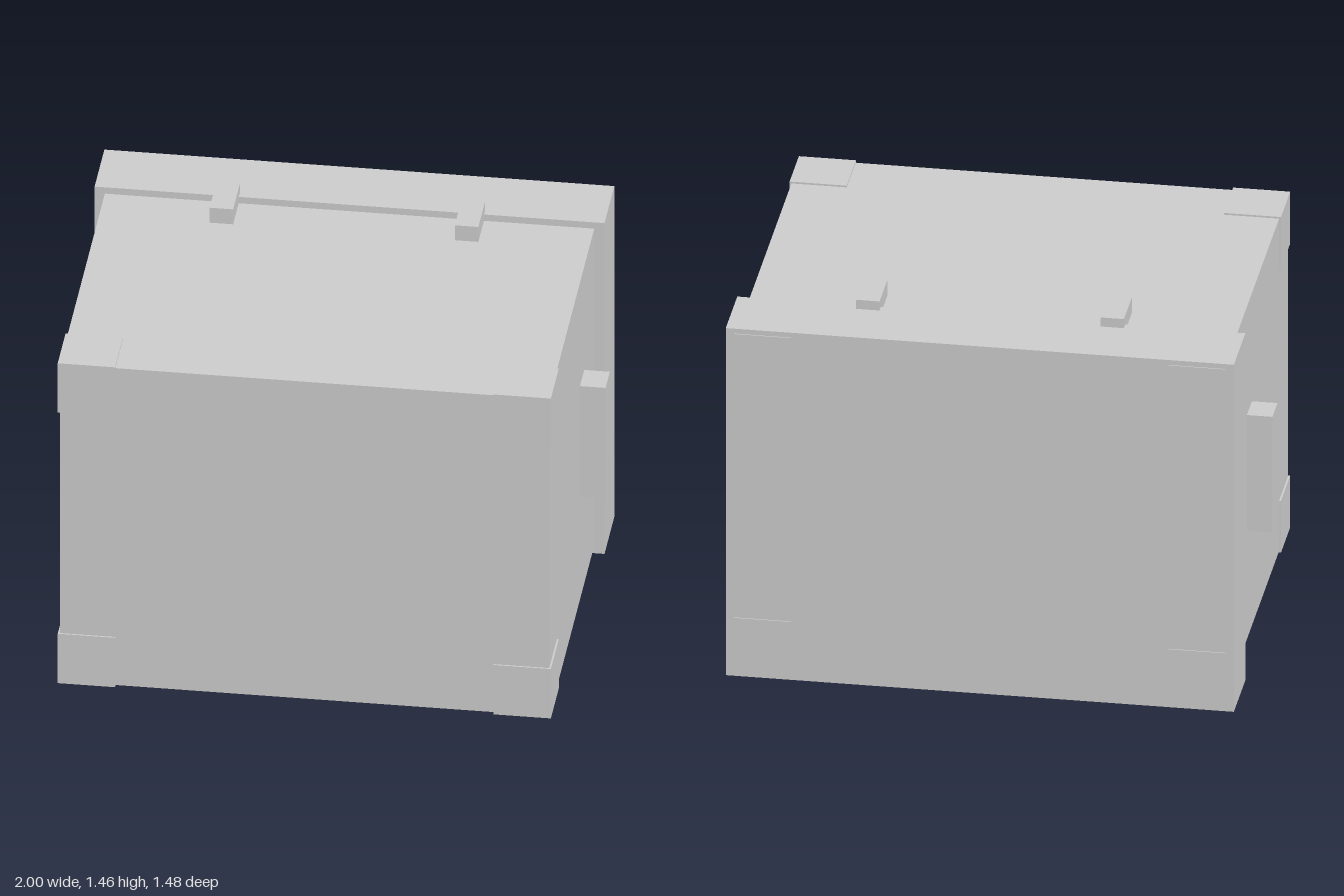
import * as THREE from 'three';

export function createModel() {
  const model = new THREE.Group();
  const material = new THREE.MeshStandardMaterial({ color: 0xcccccc, flatShading: true });

  // Box given by its min and max on each axis
  function box(name, [x0, x1], [y0, y1], [z0, z1]) {
    const mesh = new THREE.Mesh(new THREE.BoxGeometry(x1 - x0, y1 - y0, z1 - z0), material);
    mesh.position.set((x0 + x1) / 2, (y0 + y1) / 2, (z0 + z1) / 2);
    mesh.name = name;
    model.add(mesh);
  }
  // Mirrors a range across zero when the side is negative
  const mirror = (side, a, b) => (side > 0 ? [a, b] : [-b, -a]);

  // Main case and the wider cover around its back
  box('caseBody', [-0.905, 0.905], [0.033, 1.393], [-0.736, 0.736]);
  box('lid', [-0.943, 0.943], [0, 1.42], [-0.738, -0.475]);

  for (const side of [1, -1]) {
    const label = side > 0 ? 'left' : 'right';

    // Side handle and top latch
    box(label + 'Handle', mirror(side, 0.9, 1), [0.475, 0.95], [-0.205, -0.09]);
    box(label + 'Latch', mirror(side, 0.41, 0.497), [1.393, 1.457], [-0.505, -0.325]);

    // Corner guards standing slightly proud of the case
    for (const [end, z] of [['Front', 1], ['Back', -1]]) {
      box(label + end + 'TopCorner', mirror(side, 0.7, 0.912), [1.188, 1.4], mirror(z, 0.53, 0.742));
      box(label + end + 'BottomCorner', mirror(side, 0.7, 0.912), [0.027, 0.239], mirror(z, 0.53, 0.742));
    }
  }
  return model;
}
